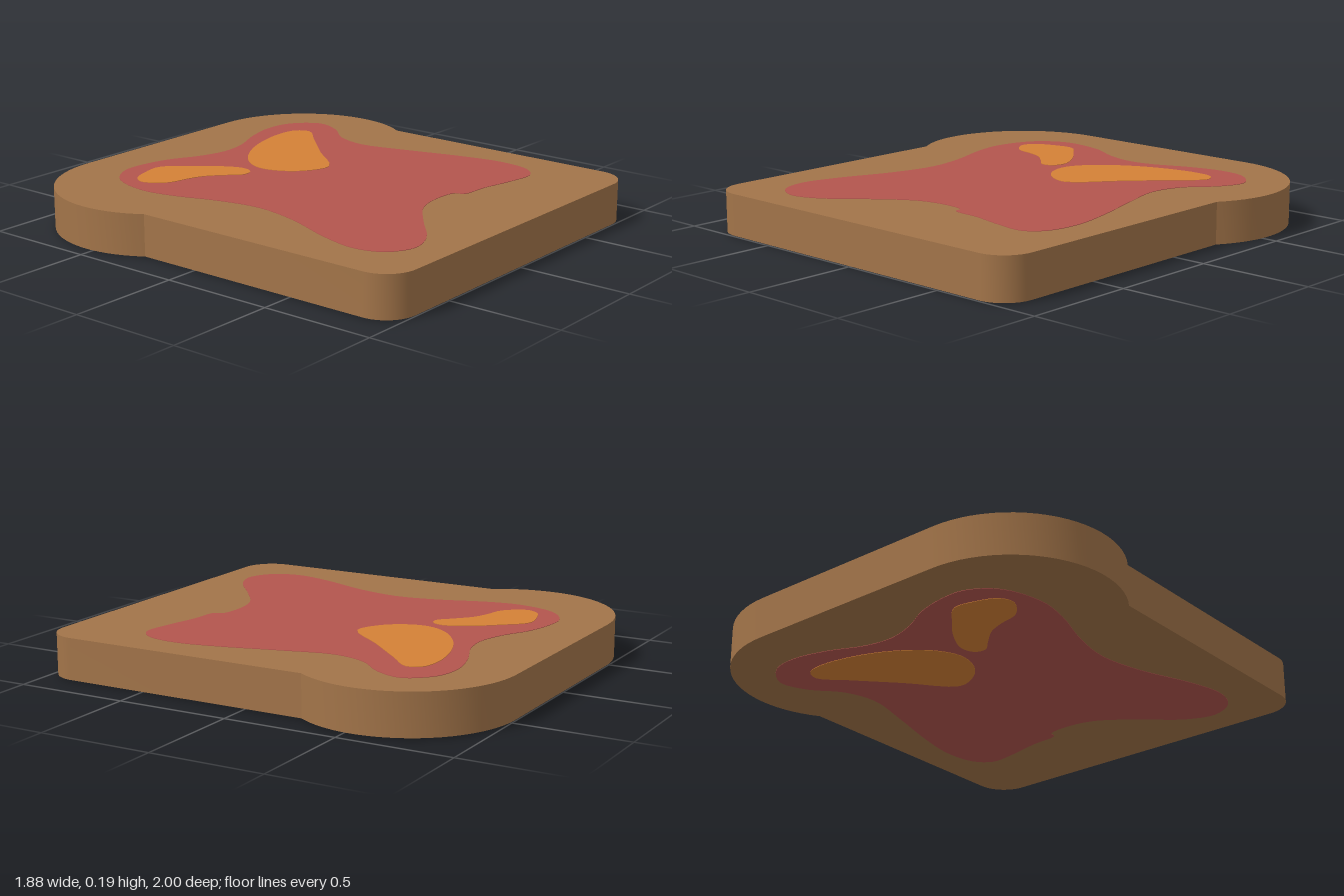
import * as THREE from 'three';
import { toCreasedNormals } from 'three/addons/utils/BufferGeometryUtils.js';

const HEIGHT = 0.19;
const STEP = 0.002; // how far each spread layer stands proud of the one below

// Outlines are drawn in plan as x, z pairs
const JAM = [
  -0.45, -0.785, -0.34, -0.79, -0.2, -0.757, -0.07, -0.69, 0.06, -0.655, 0.19, -0.67,
  0.35, -0.735, 0.51, -0.77, 0.64, -0.745, 0.73, -0.635, 0.69, -0.51, 0.59, -0.39,
  0.55, -0.24, 0.6, -0.02, 0.67, 0.23, 0.705, 0.43, 0.68, 0.58, 0.61, 0.645,
  0.48, 0.635, 0.32, 0.6, 0.19, 0.585, 0.18, 0.55, 0.06, 0.535, -0.07, 0.565,
  -0.23, 0.68, -0.39, 0.81, -0.52, 0.85, -0.63, 0.79, -0.67, 0.67, -0.635, 0.5,
  -0.54, 0.25, -0.5, 0.04, -0.53, -0.15, -0.6, -0.365, -0.62, -0.52, -0.565, -0.7,
];
const SMALL_DOLLOP = [
  -0.535, -0.59, -0.51, -0.65, -0.42, -0.69, -0.32, -0.7, -0.23, -0.61, -0.15, -0.51,
  -0.1, -0.4, -0.12, -0.34, -0.17, -0.33, -0.22, -0.375, -0.3, -0.445, -0.375, -0.475,
  -0.47, -0.5,
];
const LARGE_DOLLOP = [
  -0.05, -0.35, 0.005, -0.46, 0.14, -0.565, 0.3, -0.63, 0.465, -0.655, 0.55, -0.635,
  0.575, -0.575, 0.48, -0.47, 0.32, -0.3, 0.155, -0.12, 0.04, -0.16, -0.03, -0.245,
];

// Slice outline: round crown lobes, straight sides, small lower corners
function breadShape() {
  const lobeX = 0.47, lobeY = 0.53, r = 0.47, side = 0.86, c = 0.14;
  const notch = Math.acos((side - lobeX) / r);
  const s = new THREE.Shape();
  s.moveTo(-side + c, -1);
  s.lineTo(side - c, -1);
  s.absarc(side - c, -1 + c, c, -Math.PI / 2, 0, false);
  s.absarc(lobeX, lobeY, r, -notch, Math.PI / 2, false);
  s.absarc(-lobeX, lobeY, r, Math.PI / 2, Math.PI + notch, false);
  s.absarc(-side + c, -1 + c, c, Math.PI, Math.PI * 1.5, false);
  return s;
}

// Smooth closed blob through x, z pairs
function blobShape(pairs) {
  const pts = [];
  for (let i = 0; i < pairs.length; i += 2) pts.push(new THREE.Vector3(pairs[i], -pairs[i + 1], 0));
  const curve = new THREE.CatmullRomCurve3(pts, true, 'centripetal');
  const outline = curve.getPoints(pts.length * 4).slice(0, -1);
  return new THREE.Shape(outline.map((p) => new THREE.Vector2(p.x, p.y)));
}

// Lay a flat shape down and give it thickness from bottom to top
function slab(name, shape, bottom, top, material) {
  const geo = new THREE.ExtrudeGeometry(shape, { depth: top - bottom, bevelEnabled: false, curveSegments: 12 });
  geo.rotateX(-Math.PI / 2);
  geo.translate(0, bottom, 0);
  const mesh = new THREE.Mesh(toCreasedNormals(geo, 0.5), material);
  mesh.name = name;
  return mesh;
}

export function createModel() {
  const crust = new THREE.MeshStandardMaterial({ name: 'toasted brown', color: 0xa27449 });
  const red = new THREE.MeshStandardMaterial({ name: 'berry red', color: 0xb3554e });
  const amber = new THREE.MeshStandardMaterial({ name: 'amber', color: 0xd48136 });

  const group = new THREE.Group();
  group.name = 'toast';
  group.add(slab('breadSlice', breadShape(), 2 * STEP, HEIGHT - 2 * STEP, crust));

  // Spread shows on both faces, with the dollops sitting over the jam
  const layers = [
    ['jam', JAM, red, 1],
    ['smallDollop', SMALL_DOLLOP, amber, 2],
    ['largeDollop', LARGE_DOLLOP, amber, 2],
  ];
  for (const [name, outline, material, level] of layers) {
    const shape = blobShape(outline);
    const proud = (2 - level) * STEP;
    const top = HEIGHT - proud;
    group.add(slab(name + 'Top', shape, top - STEP, top, material));
    group.add(slab(name + 'Bottom', shape, proud, proud + STEP, material));
  }
  return group;
}
